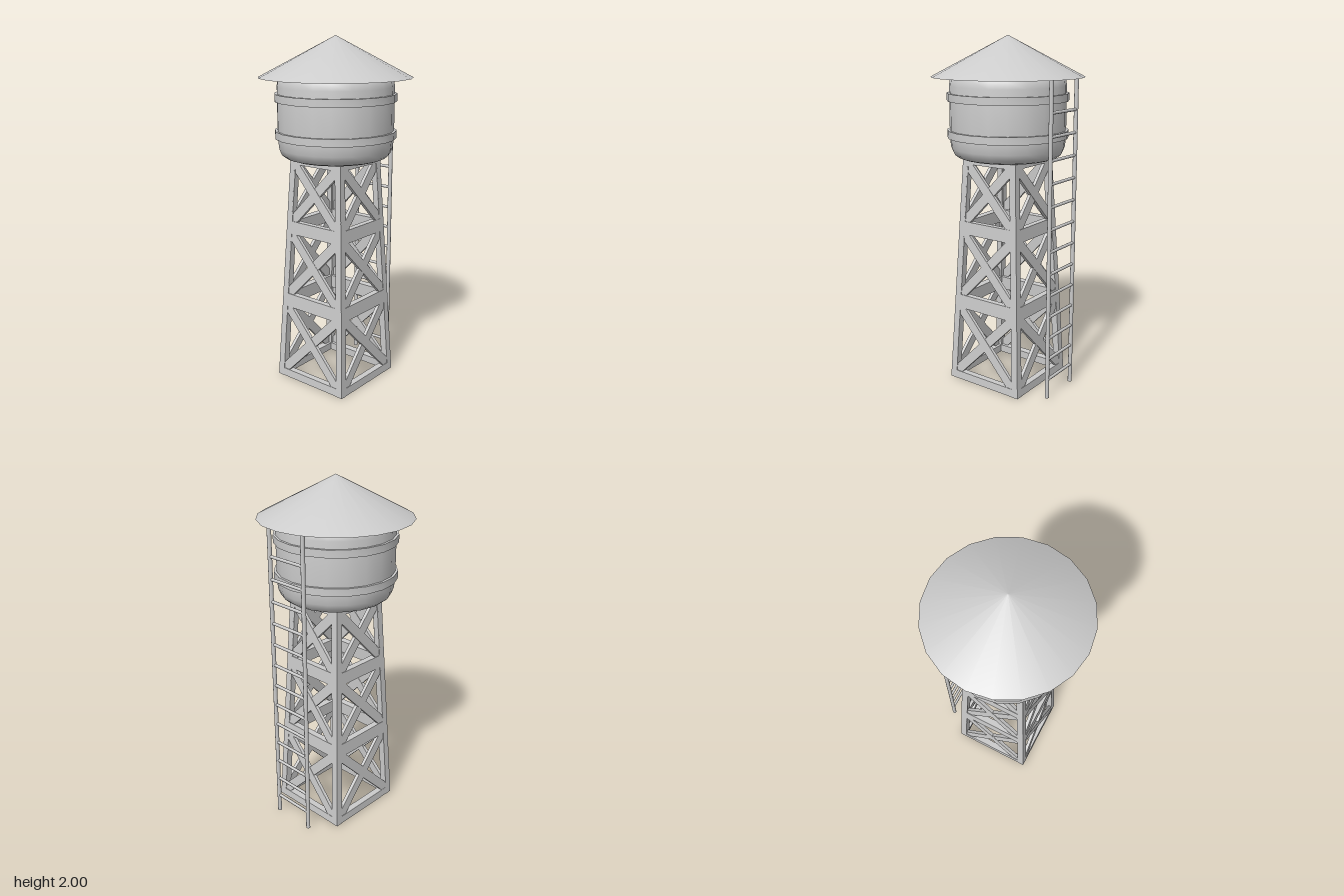
import * as THREE from 'three';
import { toCreasedNormals } from 'three/addons/utils/BufferGeometryUtils.js';

const gray = new THREE.MeshStandardMaterial({ color: 0xcccccc });
gray.name = 'light gray';

function add(parent, name, geometry, x = 0, y = 0, z = 0) {
  const mesh = new THREE.Mesh(geometry, gray);
  mesh.name = name;
  mesh.position.set(x, y, z);
  parent.add(mesh);
  return mesh;
}

// Smooth lathe with sharp edges kept where the profile turns steeply
function lathe(points, sides = 20, crease = 0.75) {
  const profile = points.map(([r, y]) => new THREE.Vector2(r, y));
  return toCreasedNormals(new THREE.LatheGeometry(profile, sides), crease);
}

// Half widths of the tapering tower at a given height
const outerHalf = (y) => 0.245 - 0.049 * y;
const innerHalf = (y) => 0.203 - 0.042 * y;
const BAYS = [[0.05, 0.45], [0.53, 0.895], [0.97, 1.3]];
const TOP = 1.335, DEPTH = 0.04;

const trapezoid = (y0, y1, half) => [
  new THREE.Vector2(-half(y0), y0), new THREE.Vector2(half(y0), y0),
  new THREE.Vector2(half(y1), y1), new THREE.Vector2(-half(y1), y1),
];

// One side of the tower: legs and beams as a pierced panel, plus cross braces
function towerSide() {
  const side = new THREE.Group();
  side.name = 'towerSide';
  const shape = new THREE.Shape(trapezoid(0.003, TOP, outerHalf));
  for (const [y0, y1] of BAYS) shape.holes.push(new THREE.Path(trapezoid(y0, y1, innerHalf)));
  const frame = new THREE.ExtrudeGeometry(shape, { depth: DEPTH, bevelEnabled: false });
  add(side, 'legsAndBeams', frame, 0, 0, -DEPTH);

  for (const [y0, y1] of BAYS) {
    for (const s of [-1, 1]) {
      const a = new THREE.Vector2(-s * innerHalf(y0), y0);
      const b = new THREE.Vector2(s * innerHalf(y1), y1);
      const d = b.clone().sub(a);
      const brace = add(side, 'crossBrace', new THREE.BoxGeometry(d.length(), 0.055, 0.02),
        (a.x + b.x) / 2, (a.y + b.y) / 2, -0.013 - 0.001 * s);
      brace.rotation.z = d.angle();
    }
  }
  // Lean the panel inwards
  side.rotation.x = -Math.atan(0.049);
  side.position.z = 0.245;
  return side;
}

export function createModel() {
  const model = new THREE.Group();
  model.name = 'waterTower';

  // Four-sided tower
  const tower = new THREE.Group();
  tower.name = 'tower';
  for (let i = 0; i < 4; i++) {
    const turn = new THREE.Group();
    turn.name = 'towerSideTurn';
    turn.rotation.y = i * Math.PI / 2;
    turn.add(towerSide());
    tower.add(turn);
  }
  model.add(tower);

  // Tank with rounded lower and upper rims
  add(model, 'tank', lathe([
    [0, 1.33], [0.255, 1.33], [0.285, 1.34], [0.307, 1.358], [0.32, 1.39], [0.326, 1.44],
    [0.326, 1.73], [0.32, 1.765], [0.305, 1.785], [0, 1.79],
  ]));

  // Hoops around the tank
  for (const y of [1.467, 1.67]) {
    const h = 0.021;
    add(model, 'tankHoop', lathe([
      [0.315, -h], [0.34, -h], [0.34, h], [0.315, h],
    ]), 0, y, 0);
  }

  // Conical roof with a flat underside
  add(model, 'roof', lathe([[0, 1.777], [0.427, 1.777], [0, 2]]));

  // Ladder on the left side
  const ladder = new THREE.Group();
  ladder.name = 'ladder';
  for (const s of [-1, 1]) {
    add(ladder, 'ladderRail', new THREE.CylinderGeometry(0.012, 0.012, 1.78, 10), 0.365, 0.89, s * 0.124);
  }
  for (let i = 0; i < 13; i++) {
    const rung = add(ladder, 'ladderRung', new THREE.CylinderGeometry(0.009, 0.009, 0.248, 8),
      0.365, 0.11 + i * 0.125, 0);
    rung.rotation.x = Math.PI / 2;
  }
  model.add(ladder);

  return model;
}
